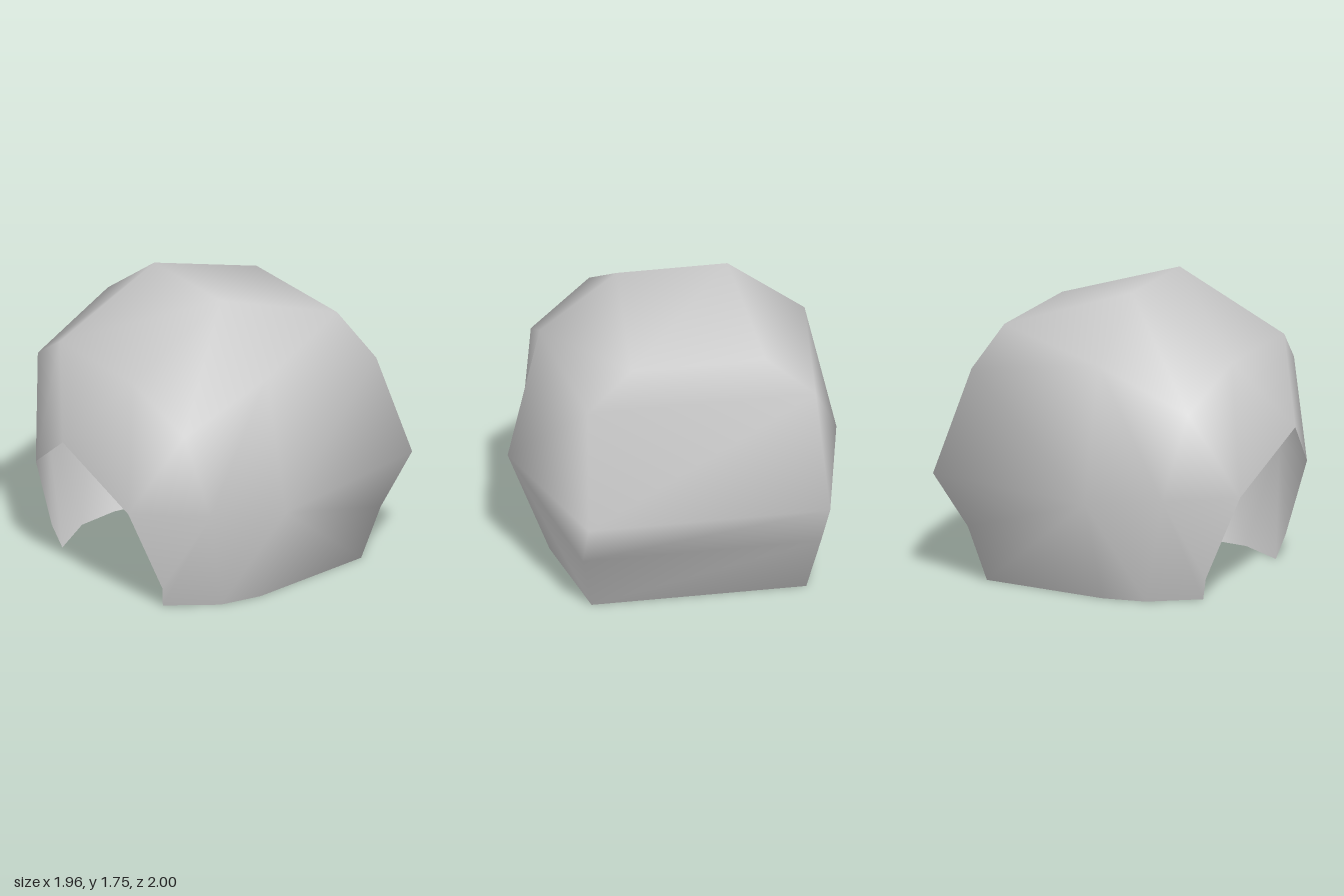
import * as THREE from 'three';

// Key points of the left half (+x); the right half is mirrored.
const POINTS = {
  // bottom rim, front to back
  rimFront: [0.5, 0, 0.64], rimMid: [0.69, 0, 0.36], rimSide: [0.73, 0, 0.1], rimBack: [0.64, 0, -0.69],
  // face opening
  jaw: [0.55, 0.14, 0.68], cheek: [0.46, 0.63, 0.86], brow: [0, 0.96, 1],
  // widest band
  temple: [0.81, 0.65, 0.52], side: [0.98, 0.63, 0.1], nape: [0.71, 0.33, -0.78], back: [0.72, 0.63, -1],
  // upper band and crown
  forehead: [0.36, 1.41, 0.76], upperFront: [0.73, 1.17, 0.65], upperSide: [0.79, 1.42, 0.1],
  upperBack: [0.68, 1.28, -0.77], crownBack: [0.4, 1.49, -0.69], crown: [0.33, 1.75, 0.1],
};

// Side panels, counter-clockwise from outside; each is fanned from its first point.
const PANELS = [
  'temple cheek jaw rimFront rimMid',
  'rimMid rimSide side temple',
  'side rimSide rimBack nape back',
  'cheek temple upperFront forehead brow',
  'temple side upperSide upperFront',
  'side back upperBack upperSide',
  'upperFront upperSide crown forehead',
  'upperSide upperBack crownBack crown',
];

// Rows joined across the middle, from forehead over the crown to the back rim.
const STRIP = ['forehead', 'crown', 'crownBack', 'upperBack', 'back', 'nape', 'rimBack'];

function shellGeometry() {
  const names = Object.keys(POINTS);
  const positions = [];
  for (const mirror of [1, -1]) {
    for (const name of names) {
      const [x, y, z] = POINTS[name];
      positions.push(x * mirror, y, z);
    }
  }
  const left = (name) => names.indexOf(name);
  // the brow lies on the middle plane, so both halves share it
  const right = (name) => (name === 'brow' ? left(name) : left(name) + names.length);

  const index = [];
  const fan = (ids) => {
    for (let i = 1; i < ids.length - 1; i++) index.push(ids[0], ids[i], ids[i + 1]);
  };
  for (const panel of PANELS) {
    const corners = panel.split(' ');
    fan(corners.map(left));
    const mirrored = corners.map(right);
    fan([mirrored[0], ...mirrored.slice(1).reverse()]);
  }
  fan([left('brow'), left('forehead'), right('forehead')]);
  for (let i = 0; i < STRIP.length - 1; i++) {
    const a = STRIP[i], b = STRIP[i + 1];
    fan([right(a), left(a), left(b), right(b)]);
  }

  const geometry = new THREE.BufferGeometry();
  geometry.setAttribute('position', new THREE.Float32BufferAttribute(positions, 3));
  geometry.setIndex(index);
  geometry.computeVertexNormals();
  return geometry;
}

export function createModel() {
  const group = new THREE.Group();
  group.name = 'helmet';
  // open shell, seen from inside as well
  const grey = new THREE.MeshStandardMaterial({ color: 0xcccccc, side: THREE.DoubleSide });
  grey.name = 'light grey';
  const shell = new THREE.Mesh(shellGeometry(), grey);
  shell.name = 'helmetShell';
  group.add(shell);
  return group;
}
